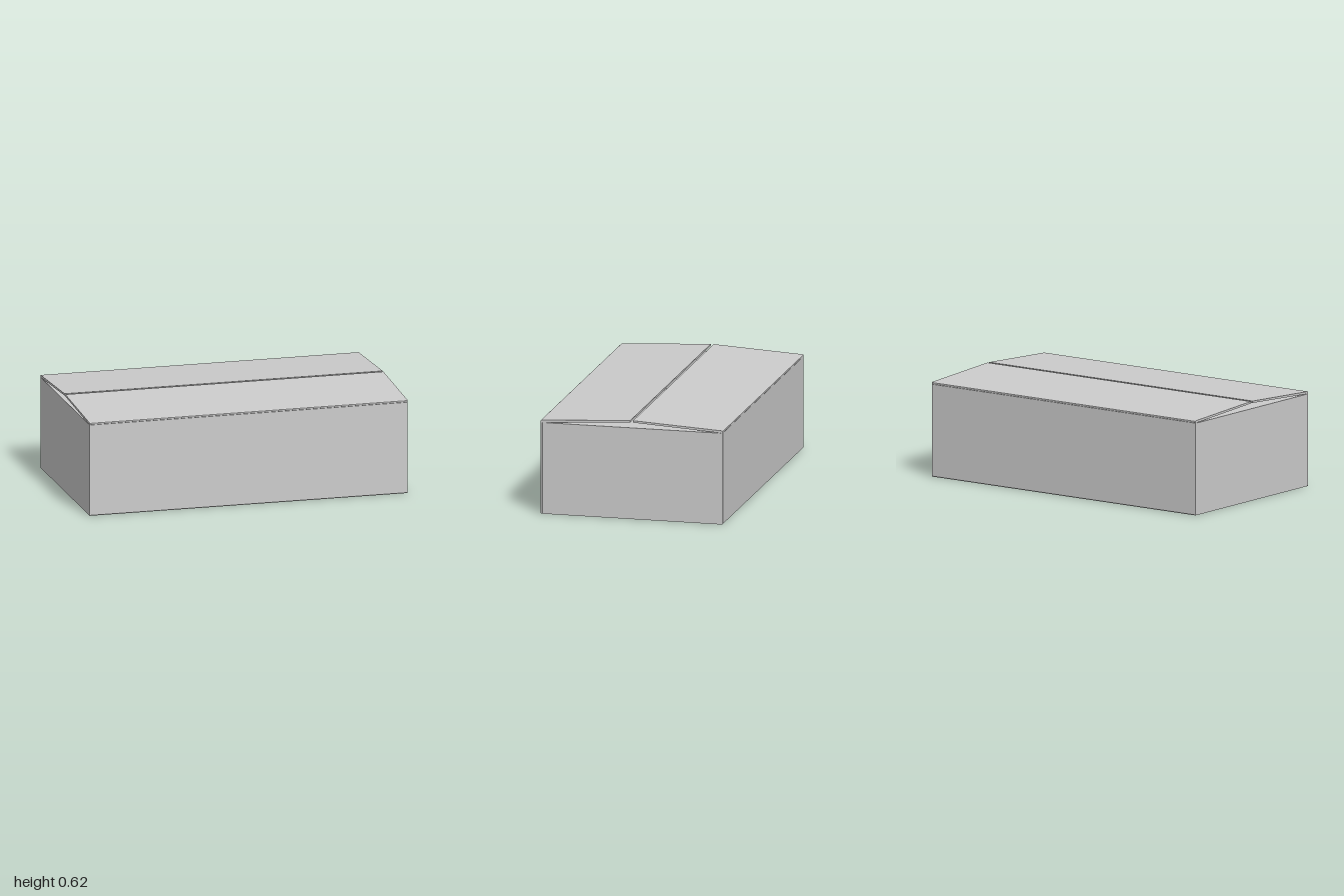
import * as THREE from 'three';

const material = new THREE.MeshStandardMaterial({ color: 0xcccccc, flatShading: true });

// Extrude a (z, y) outline along x, centred on x = 0
function panelAlongX(name, outline, length) {
  const shape = new THREE.Shape(outline.map(([z, y]) => new THREE.Vector2(z, y)));
  const geometry = new THREE.ExtrudeGeometry(shape, { depth: length, bevelEnabled: false });
  geometry.translate(0, 0, -length / 2).rotateY(-Math.PI / 2);
  const mesh = new THREE.Mesh(geometry, material);
  mesh.name = name;
  return mesh;
}

function board(name, size, position) {
  const mesh = new THREE.Mesh(new THREE.BoxGeometry(...size), material);
  mesh.name = name;
  mesh.position.set(...position);
  return mesh;
}

export function createModel() {
  const box = new THREE.Group();
  box.name = 'cardboardBox';

  // Long wall, and the lid flap hinged on it that lifts towards the middle
  const wall = [[0.56, 0.004], [0.566, 0], [0.57, 0.004], [0.57, 0.572], [0.56, 0.572]];
  const flap = [[0.54, 0.573], [0.562, 0.571], [0.57, 0.574], [0.57, 0.583],
    [0.566, 0.586], [0.009, 0.616], [0.009, 0.604]];
  for (const [side, turn] of [['front', 0], ['back', Math.PI]]) {
    const half = new THREE.Group();
    half.name = side + 'Half';
    half.add(panelAlongX(side + 'Wall', wall, 2), panelAlongX(side + 'LidFlap', flap, 2));
    half.rotation.y = turn;
    box.add(half);
  }

  // End walls, and the inner flaps folded flat beneath the lid
  for (const [side, s] of [['left', 1], ['right', -1]]) {
    box.add(board(side + 'Wall', [0.01, 0.566, 1.12], [s * 0.993, 0.287, 0]));
    box.add(board(side + 'InnerFlap', [0.98, 0.01, 1.08], [s * 0.508, 0.565, 0]));
  }

  // Closed bottom
  box.add(board('bottom', [1.996, 0.01, 1.13], [0, 0.005, 0]));
  return box;
}
